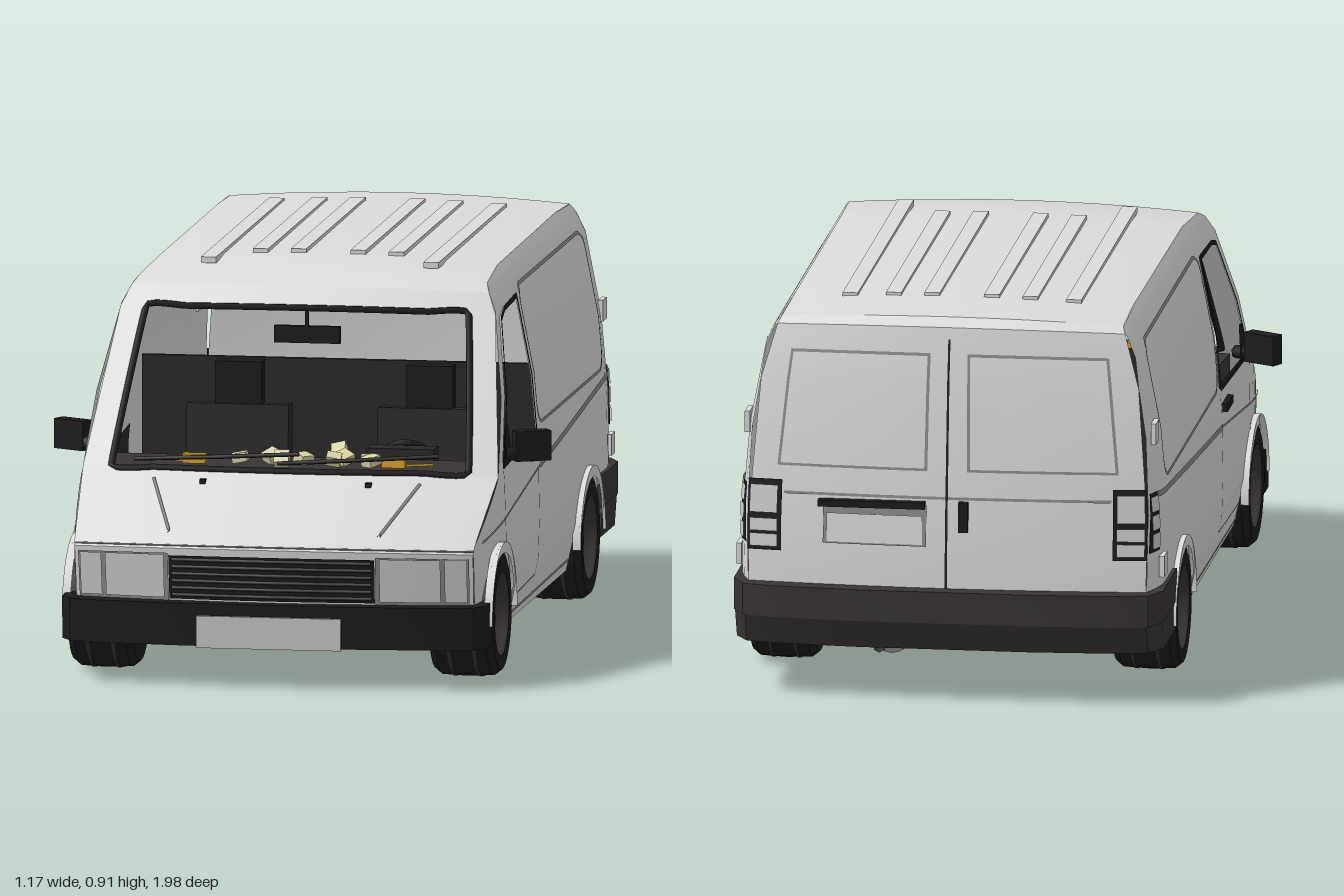
import * as THREE from 'three';
import { mergeVertices, toCreasedNormals } from 'three/addons/utils/BufferGeometryUtils.js';

const mat = (name, color, side = THREE.DoubleSide) => new THREE.MeshStandardMaterial({ name, color, side });
const lerp = THREE.MathUtils.lerp;

// half width of the body at height y and length z
const SECTION = [[0.09, 0.47], [0.2, 0.492], [0.3, 0.495], [0.45, 0.492], [0.63, 0.476], [0.815, 0.44], [0.86, 0.418], [0.89, 0.396]];
function halfWidth(y, z) {
  let i = 0;
  while (i < SECTION.length - 2 && y > SECTION[i + 1][0]) i++;
  const [a, b] = [SECTION[i], SECTION[i + 1]];
  const w = lerp(a[1], b[1], (y - a[0]) / (b[0] - a[0]));
  return w - 0.25 * Math.max(0, z - 0.6) ** 2 - 2 * Math.max(0, -0.8 - z) ** 2;
}

// rows of the centre skin, nose to tail: edge z, edge y, bow in z, crown in y
const ROWS = [
  [0.9, 0.19, 0.05, 0], [0.92, 0.315, 0.045, 0.005], [0.905, 0.335, 0.045, 0.005], [0.69, 0.462, 0.045, 0],
  [0.683, 0.472, 0.045, 0], [0.443, 0.81, 0.03, 0.008], [0.41, 0.855, 0.027, 0.01], [0.37, 0.872, 0.02, 0.012],
  [0.17, 0.885, 0, 0.016], [-0.64, 0.888, 0, 0.016], [-0.83, 0.882, -0.02, 0.014], [-0.85, 0.868, -0.025, 0.008],
  [-0.875, 0.745, -0.025, 0], [-0.91, 0.42, -0.025, 0], [-0.92, 0.27, -0.025, 0], [-0.92, 0.15, -0.025, 0],
];
function skin(s, t, off = 0) {
  const i = Math.min(Math.floor(s), ROWS.length - 2);
  const [z, y, bow, crown] = ROWS[i].map((v, k) => lerp(v, ROWS[i + 1][k], s - i));
  const b = 1 - t * t;
  return new THREE.Vector3(halfWidth(y, z) * t, y + crown * b + (s < 4 ? Math.abs(off) * 0.5 : 0), z + bow * b + off);
}

// loft over rows ss and columns ts of the skin, with cells left out by skip
function loft(ss, ts, off = 0, skip = () => false) {
  const v = [];
  for (let i = 0; i < ss.length - 1; i++) for (let j = 0; j < ts.length - 1; j++) {
    if (skip(ss[i], (ts[j] + ts[j + 1]) / 2)) continue;
    const [a, b, c, d] = [[i, j], [i, j + 1], [i + 1, j + 1], [i + 1, j]].map(([p, q]) => skin(ss[p], ts[q], off));
    for (const p of [a, b, c, a, c, d]) v.push(p.x, p.y, p.z);
  }
  const g = new THREE.BufferGeometry();
  g.setAttribute('position', new THREE.Float32BufferAttribute(v, 3));
  return toCreasedNormals(g, 0.5);
}

// flat (z, y) shape wrapped on one body side
const CUTS = [[1, [0.2, 0.3, 0.45, 0.63, 0.815, 0.86]], [0, [0.65, 0.7, 0.76, 0.82, 0.88, -0.8, -0.84, -0.88]]];
function clip(poly, k, c, s) {
  return poly.flatMap((p, i) => {
    const q = poly[(i + 1) % poly.length], a = (p[k] - c) * s, b = (q[k] - c) * s;
    const out = a >= 0 ? [p] : [];
    if (a * b < 0) out.push([0, 1].map(n => lerp(p[n], q[n], a / (a - b))));
    return out;
  });
}
function wrap(shape, side, off = 0) {
  const flat = new THREE.ShapeGeometry(shape, 14).toNonIndexed().attributes.position;
  let polys = [];
  for (let i = 0; i < flat.count; i += 3) polys.push([0, 1, 2].map(n => [flat.getX(i + n), flat.getY(i + n)]));
  for (const [k, list] of CUTS) for (const c of list)
    polys = polys.flatMap(p => [clip(p, k, c, 1), clip(p, k, c, -1)].filter(q => q.length > 2));
  const v = [];
  for (const p of polys) for (let i = 1; i < p.length - 1; i++)
    for (const [z, y] of side > 0 ? [p[0], p[i + 1], p[i]] : [p[0], p[i], p[i + 1]]) v.push(side * (halfWidth(y, z) + off), y, z);
  const g = new THREE.BufferGeometry();
  g.setAttribute('position', new THREE.Float32BufferAttribute(v, 3));
  return toCreasedNormals(g, 0.4);
}
const poly = pts => new THREE.Shape(pts.map(p => new THREE.Vector2(...p)));
const strip = (z0, y0, z1, y1, w) => {
  const l = Math.hypot(z1 - z0, y1 - y0), a = -(y1 - y0) / l * w, b = (z1 - z0) / l * w;
  return poly([[z0 - a, y0 - b], [z1 - a, y1 - b], [z1 + a, y1 + b], [z0 + a, y0 + b]]);
};
function roundRect(z0, y0, z1, y1, r, Type = THREE.Shape) {
  const s = new Type();
  s.absarc(z1 - r, y1 - r, r, 0, Math.PI / 2); s.absarc(z0 + r, y1 - r, r, Math.PI / 2, Math.PI);
  s.absarc(z0 + r, y0 + r, r, Math.PI, Math.PI * 1.5); s.absarc(z1 - r, y0 + r, r, Math.PI * 1.5, Math.PI * 2);
  return s;
}

export function createModel() {
  const body = mat('body paint', 0xdcdcdc), black = mat('black rubber', 0x1c1c1c), trim = mat('dark trim', 0x3a3535),
    cabin = mat('cabin', 0x2a2828), metal = mat('underbody metal', 0x7c7a7a), cream = mat('paper', 0xd9d5a4),
    yellow = mat('yellow', 0xe0a51c), plate = mat('plate', 0xc6c6c6), lamp = mat('lamp', 0xd0d2d2), seam = mat('seam', 0x8c8c8c);
  const van = new THREE.Group();
  van.name = 'van';
  const add = (name, geo, m, x = 0, y = 0, z = 0, parent = van) => {
    const mesh = new THREE.Mesh(geo, m);
    mesh.name = name; mesh.position.set(x, y, z); parent.add(mesh);
    return mesh;
  };
  const box = (name, w, h, d, m, x, y, z) => add(name, new THREE.BoxGeometry(w, h, d), m, x, y, z);
  const tube = (name, pts, r, m, closed = false) => add(name, new THREE.TubeGeometry(
    new THREE.CatmullRomCurve3(pts, closed, 'catmullrom', 0.1), pts.length * 8, r, 6, closed), m);
  const rod = (name, r, len, m, x, y, z) => add(name, new THREE.CylinderGeometry(r, r, len, 16).rotateZ(Math.PI / 2), m, x, y, z);

  // centre skin: nose, bonnet, screen surround, roof and rear doors
  const cols = [-1, -0.95, -0.86, -0.65, -0.43, -0.2, 0, 0.2, 0.43, 0.65, 0.86, 0.95, 1];
  add('bodySkin', loft(ROWS.map((_, i) => i), cols, 0, (s, t) => s === 4 && Math.abs(t) < 0.86), body);
  const ringCols = cols.slice(2, -2);
  tube('windscreenSeal', [...ringCols.map(t => skin(4, t)), ...ringCols.map(t => skin(5, -t))], 0.008, black, true);

  // nose details
  add('grille', loft([0.05, 0.85], cols.slice(4, -4).map(t => t * 1.2), 0.006), black);
  for (let i = 0; i < 6; i++) tube('grilleBar', [-0.5, 0, 0.5].map(t => skin(0.12 + i * 0.13, t, 0.008)), 0.004, trim);
  tube('bonnetSeam', cols.map(t => skin(1.3, t, 0.001)), 0.002, seam);
  for (const s of [-1, 1]) {
    const ts = a => a.map(t => t * s);
    add('headlightRim', loft([0.02, 0.9], ts([0.52, 0.7, 0.86, 0.98]), 0.004), seam);
    add('headlight', loft([0.06, 0.86], ts([0.54, 0.7, 0.84]), 0.008), lamp);
    add('indicator', loft([0.06, 0.86], ts([0.86, 0.97]), 0.008), lamp);
    tube('bonnetCrease', [skin(2.1, 0.52 * s), skin(2.9, 0.64 * s)], 0.004, seam);
    box('washerJet', 0.014, 0.012, 0.014, black, 0.195 * s, 0.447, 0.755);
  }
  for (const [a, b] of [[-0.75, 0.05], [-0.05, 0.72]])
    tube('wiper', [a, lerp(a, b, 0.5), b].map((t, i) => skin(4.05 + 0.03 * i, t, 0.012)), 0.005, black);

  // roof ribs
  for (const s of [-1, 1]) for (const [x, front] of [[0.07, 0.16], [0.16, 0.16], [0.262, 0.28]])
    box('roofRib', 0.036, 0.014, front + 0.67, body, x * s, 0.903 - 0.1 * x * x, (front - 0.67) / 2);

  // rear doors
  add('rearDoorSeam', loft([11.2, 12, 13, 14], [-0.006, 0.006], -0.003), black);
  for (const s of [-1, 1]) {
    const ts = a => a.map(t => t * s);
    add('rearDoorPanelEdge', loft([11.45, 12, 12.62], ts([0.1, 0.3, 0.6, 0.86]), -0.002), seam);
    add('rearDoorPanel', loft([11.5, 12, 12.6], ts([0.115, 0.3, 0.6, 0.845]), -0.004), body);
    add('tailLampRim', loft([12.72, 13, 13.5], ts([0.83, 1]), -0.006), black);
    for (let i = 0; i < 3; i++) add('tailLamp', loft([12.76 + i * 0.24, 12.96 + i * 0.24], ts([0.85, 0.99]), -0.01), lamp);
  }
  add('rearDoorCrease', loft([12.8, 12.82], cols.map(t => t * 0.82), -0.003), seam);
  add('rearPlateRecess', loft([12.86, 13.35], [0.1, 0.35, 0.62], -0.004), seam);
  add('rearPlate', loft([12.94, 13.32], [0.12, 0.35, 0.6], -0.007), body);
  box('plateLight', 0.25, 0.016, 0.02, black, 0.175, 0.465, -0.938);
  box('rearHandle', 0.022, 0.07, 0.02, black, -0.04, 0.44, -0.94);

  // body sides
  const glass = [[0.165, 0.5], [0.165, 0.815], [0.34, 0.81], [0.4, 0.795], [0.625, 0.48]];
  const grow = k => glass.map(([z, y]) => [0.35 + (z - 0.35) * k, 0.64 + (y - 0.64) * k]);
  for (const s of [-1, 1]) {
    const wall = poly(ROWS.map(r => [r[0], r[1]]));
    wall.lineTo(-0.68, 0.14); wall.absarc(-0.53, 0.14, 0.15, Math.PI, 0, true);
    wall.lineTo(-0.37, 0.09); wall.lineTo(0.54, 0.09);
    wall.lineTo(0.55, 0.14); wall.absarc(0.7, 0.14, 0.15, Math.PI, 0, true); wall.lineTo(0.89, 0.15);
    wall.holes.push(new THREE.Path(glass.map(p => new THREE.Vector2(...p))));
    add('sideWall', wrap(wall, s), body);
    const frame = poly(grow(1.03));
    frame.holes.push(new THREE.Path(grow(0.96).map(p => new THREE.Vector2(...p))));
    add('windowSeal', wrap(frame, s, 0.004), black);
    const edge = roundRect(-0.77, 0.505, 0.135, 0.835, 0.05);
    edge.holes.push(roundRect(-0.762, 0.513, 0.127, 0.827, 0.045, THREE.Path));
    add('cargoPanelEdge', wrap(edge, s, 0.003), seam);
    add('waistCrease', wrap(strip(0.15, 0.415, -0.86, 0.492, 0.007), s, 0.005), seam);
    add('waistCreaseFront', wrap(strip(0.86, 0.335, 0.15, 0.415, 0.003), s, 0.004), seam);
    add('doorSeamRear', wrap(strip(0.16, 0.16, 0.16, 0.49, 0.002), s, 0.002), seam);
    add('doorSeamBottom', wrap(strip(0.16, 0.16, 0.54, 0.145, 0.002), s, 0.002), seam);
    add('doorSeamFront', wrap(strip(0.62, 0.3, 0.63, 0.47, 0.002), s, 0.002), seam);
    add('sillCrease', wrap(strip(-0.36, 0.12, 0.54, 0.11, 0.004), s, 0.003), seam);
    add('doorLining', wrap(poly([[0.15, 0.12], [0.54, 0.12], [0.56, 0.3], [0.66, 0.33], [0.66, 0.46], [0.15, 0.49]]), s, -0.02), cabin);
    add('quarterTrim', wrap(poly([[0.635, 0.475], [0.5, 0.48], [0.525, 0.57], [0.57, 0.565]]), s, 0.002), black);
    add('tailLampSideRim', wrap(poly([[-0.86, 0.36], [-0.86, 0.5], [-0.9, 0.5], [-0.914, 0.36]]), s, 0.004), black);
    for (let i = 0; i < 3; i++)
      add('tailLampSide', wrap(roundRect(-0.903, 0.368 + i * 0.044, -0.866, 0.404 + i * 0.044, 0.004), s, 0.008), lamp);
    for (const y of [0.32, 0.635]) box('rearHinge', 0.012, 0.05, 0.055, body, s * (halfWidth(y, -0.84) + 0.004), y, -0.84);
    box('doorHandle', 0.016, 0.02, 0.095, black, s * 0.496, 0.452, 0.235);
    // wheel arch lips and liners
    for (const z of [0.7, -0.53]) {
      const lip = new THREE.Shape();
      lip.absarc(z, 0.14, 0.174, 0, Math.PI); lip.absarc(z, 0.14, 0.148, Math.PI, 0, true);
      add('archLip', wrap(lip, s, 0.012), body);
      const lipEdge = new THREE.CylinderGeometry(0.174, 0.174, 0.02, 24, 1, true, 0, Math.PI).rotateZ(Math.PI / 2);
      add('archLipEdge', lipEdge, body, s * 0.497, 0.14, z);
      add('archLiner', new THREE.CylinderGeometry(0.152, 0.152, 0.2, 24, 1, true, 0, Math.PI).rotateZ(Math.PI / 2), black, s * 0.395, 0.14, z);
    }
    // door mirror
    const head = box('doorMirror', 0.085, 0.07, 0.035, black, s * 0.54, 0.517, 0.525);
    head.rotation.y = s * 0.5;
    tube('mirrorArm', [new THREE.Vector3(s * 0.47, 0.495, 0.57), new THREE.Vector3(s * 0.53, 0.505, 0.53)], 0.016, black);
  }

  // bumpers: half outline (x, z) mirrored and extruded upwards
  const bumper = (name, half, y, h, m, tuck) => {
    const pts = [...half, ...half.map(([x, z]) => [-x, z]).reverse()].map(([x, z]) => [x, -z]);
    const g = new THREE.ExtrudeGeometry(poly(pts), { depth: h, bevelEnabled: false }).rotateX(-Math.PI / 2);
    const p = g.attributes.position;
    for (let i = 0; i < p.count; i++) if (p.getY(i) < h / 2) p.setZ(i, p.getZ(i) * tuck);
    add(name, toCreasedNormals(g, 0.6), m, 0, y, 0);
  };
  bumper('frontBumper', [[0.5, 0.848], [0.5, 0.91], [0.475, 0.95], [0.4, 0.968], [0.2, 0.985]], 0.095, 0.1, black, 0.995);
  bumper('rearBumper', [[0.503, -0.665], [0.503, -0.9], [0.475, -0.955], [0.4, -0.972], [0.2, -0.985]], 0.195, 0.075, trim, 0.998);
  bumper('rearBumperSkirt', [[0.5, -0.69], [0.5, -0.9], [0.47, -0.952], [0.4, -0.968], [0.2, -0.982]], 0.125, 0.07, trim, 0.965);
  box('frontPlate', 0.34, 0.075, 0.008, plate, 0, 0.13, 0.992);

  // wheels
  const tyre = [[0.09, -0.07], [0.13, -0.076], [0.143, -0.06], [0.146, 0], [0.143, 0.06], [0.13, 0.076], [0.098, 0.074], [0.09, 0.045]];
  for (const s of [-1, 1]) for (const z of [0.7, -0.53]) {
    const wheel = new THREE.Group();
    wheel.name = 'wheel'; wheel.position.set(s * 0.425, 0.146, z); wheel.rotation.z = -s * Math.PI / 2;
    van.add(wheel);
    const lathe = pts => new THREE.LatheGeometry(pts.map(p => new THREE.Vector2(...p)), 32);
    add('tyre', toCreasedNormals(lathe(tyre), 0.6), black, 0, 0, 0, wheel);
    for (const y of [-0.03, 0.03]) add('treadGroove', new THREE.CylinderGeometry(0.1465, 0.1465, 0.008, 32, 1, true), trim, 0, y, 0, wheel);
    add('rim', lathe([[0, 0.05], [0.03, 0.052], [0.04, 0.04], [0.07, 0.045], [0.085, 0.035], [0.092, 0.066], [0.098, 0.075]]), trim, 0, 0, 0, wheel);
    add('rimBack', new THREE.CylinderGeometry(0.1, 0.1, 0.01, 24), trim, 0, -0.06, 0, wheel);
    for (let i = 0; i < 5; i++) {
      const a = i * Math.PI * 0.4;
      add('rimHole', new THREE.CylinderGeometry(0.011, 0.011, 0.006, 10), black, 0.065 * Math.cos(a), 0.045, 0.065 * Math.sin(a), wheel);
    }
  }

  // underbody
  box('chassis', 0.6, 0.02, 1.78, cabin, 0, 0.19, -0.02);
  for (const s of [-1, 1]) {
    box('floorPan', 0.4, 0.015, 0.9, metal, s * 0.265, 0.1, 0.09);
    for (let i = 0; i < 5; i++) box('floorRib', 0.022, 0.008, 0.84, metal, s * (0.11 + i * 0.075), 0.092, 0.09);
    box('leafSpring', 0.04, 0.025, 0.5, trim, s * 0.3, 0.16, -0.6);
  }
  box('tunnel', 0.13, 0.02, 0.95, cabin, 0, 0.14, 0.09);
  box('engineSump', 0.26, 0.06, 0.2, trim, 0, 0.12, 0.7);
  add('gearbox', new THREE.CylinderGeometry(0.05, 0.035, 0.26, 12).rotateX(Math.PI / 2), trim, 0, 0.11, 0.45);
  box('catalyst', 0.1, 0.03, 0.25, trim, 0.06, 0.075, 0.1);
  rod('frontAxle', 0.02, 0.7, trim, 0, 0.11, 0.7);
  rod('rearAxle', 0.025, 0.75, trim, 0, 0.146, -0.53);
  add('differential', new THREE.SphereGeometry(0.06, 16, 12), trim, 0, 0.14, -0.53);
  tube('propShaft', [new THREE.Vector3(0, 0.12, 0.35), new THREE.Vector3(0, 0.14, -0.5)], 0.016, trim);
  tube('exhaust', [[-0.1, 0.1, 0.7], [0.05, 0.085, 0.5], [0.05, 0.1, -0.35], [0.14, 0.15, -0.6], [0.16, 0.12, -0.92]]
    .map(p => new THREE.Vector3(...p)), 0.014, trim);
  add('muffler', new THREE.CylinderGeometry(0.05, 0.05, 0.2, 16).rotateX(Math.PI / 2), metal, 0.14, 0.14, -0.75);
  box('fuelTank', 0.2, 0.07, 0.2, metal, -0.13, 0.15, -0.75);

  // cabin
  box('partition', 0.93, 0.5, 0.015, cabin, 0, 0.38, 0.0);
  box('cabFloor', 0.92, 0.02, 0.52, cabin, 0, 0.13, 0.28);
  const dash = poly([[0.44, 0.3], [0.45, 0.455], [0.52, 0.475], [0.69, 0.462], [0.7, 0.3]]);
  add('dashboard', new THREE.ExtrudeGeometry(dash, { depth: 0.88, bevelEnabled: false }).rotateY(-Math.PI / 2), trim, 0.44, 0, 0);
  box('instruments', 0.16, 0.035, 0.06, cabin, 0.23, 0.482, 0.49);
  const wheel = add('steeringWheel', new THREE.TorusGeometry(0.065, 0.008, 8, 24), black, 0.23, 0.45, 0.41);
  wheel.rotation.x = 0.6;
  for (const s of [-1, 1]) {
    box('seatCushion', 0.25, 0.1, 0.25, cabin, s * 0.225, 0.27, 0.19);
    box('seatBack', 0.24, 0.28, 0.06, cabin, s * 0.225, 0.39, 0.075).rotation.x = -0.08;
    box('headrest', 0.11, 0.1, 0.045, black, s * 0.225, 0.58, 0.06);
  }
  box('rearViewMirror', 0.155, 0.04, 0.015, black, 0, 0.753, 0.45);
  box('mirrorStalk', 0.008, 0.06, 0.008, black, 0, 0.798, 0.455);

  // loose papers and yellow items on the dashboard
  [[-0.13, 0.62], [-0.06, 0.59], [-0.03, 0.63], [0.02, 0.62], [0.09, 0.62], [0.11, 0.59], [0.17, 0.6], [0.18, 0.63], [0.08, 0.48]]
    .forEach(([x, z], i) => { box('paper', 0.035, 0.022, 0.035, cream, x, 0.487, z).rotation.set(0.3 * (i % 3), i * 0.8, 0.2); });
  for (const s of [-1, 1]) {
    box('yellowTin', 0.055, 0.022, 0.025, yellow, s * 0.235, 0.484, 0.635);
    box('yellowPencil', 0.07, 0.006, 0.006, yellow, s * 0.29, 0.478, 0.62).rotation.y = s * 0.4;
  }
  return van;
}
